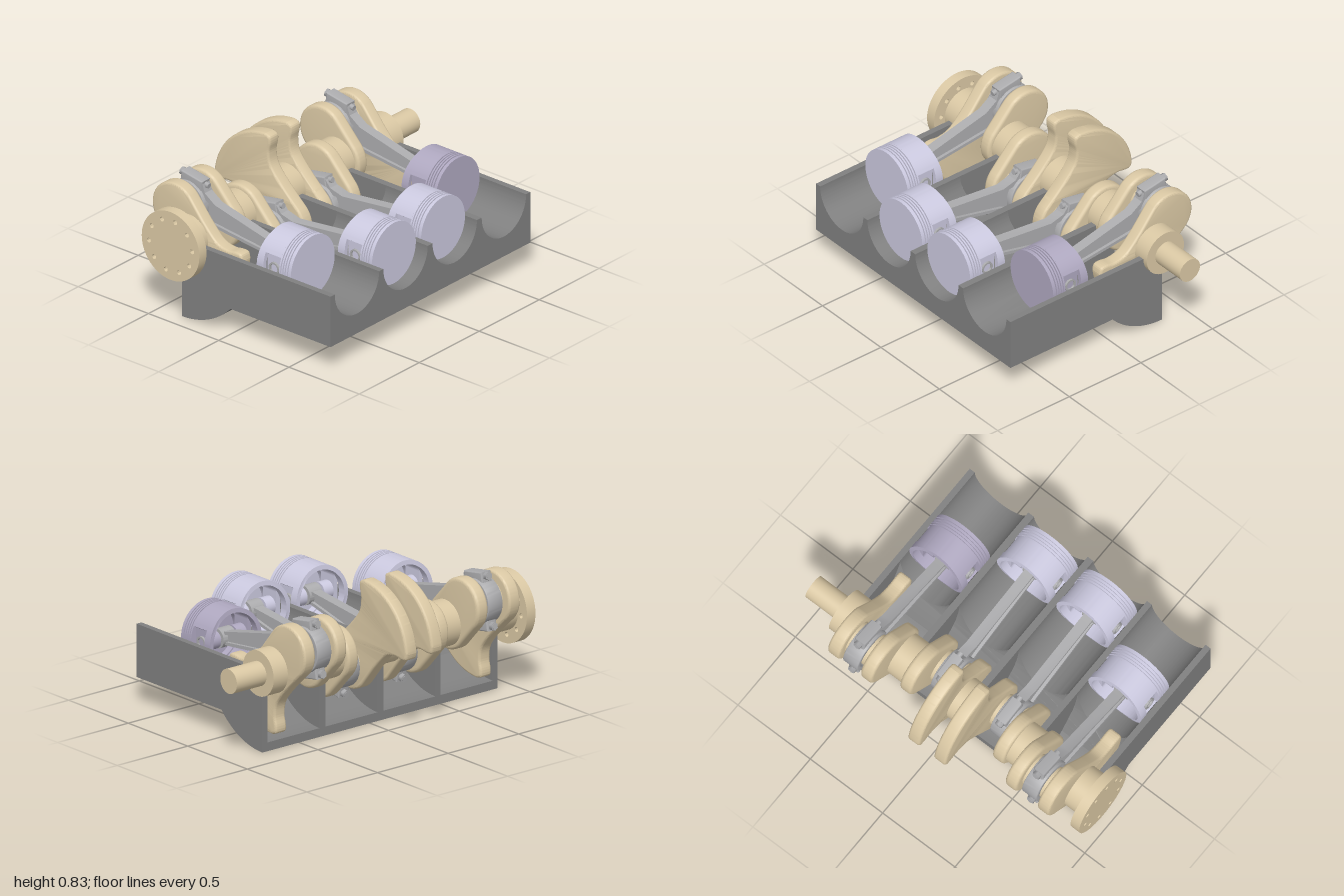
import * as THREE from 'three';
import { toCreasedNormals } from 'three/addons/utils/BufferGeometryUtils.js';

const AXIS_Y = 0.46, AXIS_Z = -0.343;       // crankshaft axis
const THROW = 0.17, ROD = 0.73, BORE = 0.185;
const OUTER = 2.32, INNER = OUTER - Math.PI; // crankpin angles, from +z towards +y
const BORES = [-0.685, -0.28, 0.13, 0.54];

const mat = (color) => new THREE.MeshStandardMaterial({ color });
const blockMat = mat(0x808080), crankMat = mat(0xdac8a4), rodMat = mat(0xacacae);
const pistonMat = mat(0xcbc9df), darkPistonMat = mat(0xafa8c0);

function add(parent, name, geometry, material) {
  const m = new THREE.Mesh(geometry, material);
  m.name = name;
  parent.add(m);
  return m;
}

// Extrude a (z, y) side profile along x, centred on x
function side(shape, x, width, bevel = 0) {
  const g = new THREE.ExtrudeGeometry(shape, {
    depth: width - 2 * bevel, curveSegments: 32, bevelEnabled: bevel > 0,
    bevelSize: bevel, bevelThickness: bevel, bevelOffset: -bevel, bevelSegments: 4,
  });
  g.translate(0, 0, bevel - width / 2);
  return toCreasedNormals(g.rotateY(-Math.PI / 2).translate(x, 0, 0), 0.6);
}

const rodX = (r, x0, x1) =>
  new THREE.CylinderGeometry(r, r, x1 - x0, 48).rotateZ(Math.PI / 2).translate((x0 + x1) / 2, 0, 0);

function circle(r, x = 0, y = 0, C = THREE.Path) {
  return new C().absarc(x, y, r, 0, Math.PI * 2, false);
}

function poly(points) {
  return new THREE.Shape(points.map(([x, y]) => new THREE.Vector2(x, y)));
}

function buildBlock() {
  const block = new THREE.Group();
  block.name = 'halfBlock';

  // Half-bores, whose rear end is cut by the round crankcase
  const s = poly([[-0.905, 0.155], [0.76, 0.155], [0.76, AXIS_Y]]);
  for (const c of [...BORES].reverse()) {
    s.lineTo(c + BORE, AXIS_Y);
    s.absarc(c, AXIS_Y, BORE, 0, -Math.PI, true);
  }
  s.lineTo(-0.905, AXIS_Y);
  const g = new THREE.ExtrudeGeometry(s, { depth: 0.715, bevelEnabled: false, curveSegments: 40 });
  const p = g.attributes.position;
  for (let i = 0; i < p.count; i++) {
    if (p.getZ(i) < 0.001) p.setZ(i, AXIS_Z + Math.sqrt(0.41 ** 2 - (p.getY(i) - AXIS_Y) ** 2));
  }
  add(block, 'cylinderBores', toCreasedNormals(g, 0.5), blockMat);

  // Curved crankcase floor
  const shell = new THREE.Shape();
  shell.absarc(AXIS_Z, AXIS_Y, 0.46, -Math.PI / 2, -0.725, false);
  shell.lineTo(-0.069, 0.155);
  shell.absarc(AXIS_Z, AXIS_Y, 0.41, -0.839, -Math.PI / 2, true);
  add(block, 'crankcaseFloor', side(shell, -0.0725, 1.665), blockMat);

  // Bulkheads between the crank bays
  const wall = new THREE.Shape();
  wall.absarc(AXIS_Z, AXIS_Y, 0.46, -Math.PI / 2, -0.725, false);
  wall.lineTo(0.07, 0.155);
  wall.lineTo(0.07, AXIS_Y);
  wall.lineTo(AXIS_Z, AXIS_Y);
  for (const [a, b] of [[-0.905, -0.87], [-0.5, -0.465], [-0.095, -0.055], [0.315, 0.355], [0.725, 0.76]])
    add(block, 'bulkhead', side(wall, (a + b) / 2, b - a), blockMat);
  return block;
}

// Crank web: local +x of the profile points to the crankpin
function webShape(weighted) {
  const s = new THREE.Shape();
  s.absarc(THROW, 0, 0.155, -Math.PI / 2, Math.PI / 2, false);
  if (!weighted) {
    s.absarc(0, 0, 0.155, Math.PI / 2, Math.PI * 1.5, false);
    return s;
  }
  const flank = [[0.02, 0.145], [-0.11, 0.15], [-0.18, 0.19], [-0.218, 0.24], [-0.248, 0.262], [-0.28, 0.248]];
  s.splineThru(flank.map(([x, y]) => new THREE.Vector2(x, y)));
  s.absarc(0, 0, 0.374, 2.417, Math.PI * 2 - 2.417, false);
  s.splineThru([...flank].reverse().slice(1).map(([x, y]) => new THREE.Vector2(x, -y)));
  return s;
}

function buildCrankshaft() {
  const crank = new THREE.Group();
  crank.name = 'crankshaft';
  crank.position.set(0, AXIS_Y, AXIS_Z);

  for (const [a, b] of [[-0.95, -0.8], [-0.575, -0.395], [-0.165, 0.015], [0.245, 0.425], [0.65, 0.79]])
    add(crank, 'mainJournal', rodX(0.13, a, b), crankMat);
  add(crank, 'noseShaft', rodX(0.07, 0.78, 1), crankMat);

  // Drilled rear flange
  const flange = circle(0.205, 0, 0, THREE.Shape);
  for (let i = 0; i < 10; i++) {
    const a = (i + 0.15) * Math.PI / 5;
    flange.holes.push(circle(0.014, 0.155 * Math.cos(a), 0.155 * Math.sin(a)));
  }
  add(crank, 'flange', side(flange, -0.97, 0.06), crankMat);

  // Throws: [weighted web x, plain web x, angle]
  for (const [xw, xp, angle] of [[-0.8, -0.575, OUTER], [-0.165, -0.395, INNER], [0.015, 0.245, INNER], [0.65, 0.425, OUTER]]) {
    const t = new THREE.Group();
    t.name = 'crankThrow';
    t.rotation.x = -angle;
    add(t, 'counterweight', side(webShape(true), xw, 0.08, 0.015), crankMat);
    add(t, 'web', side(webShape(false), xp, 0.08, 0.02), crankMat);
    add(t, 'crankpin', rodX(0.1, Math.min(xw, xp), Math.max(xw, xp)).translate(0, 0, THROW), crankMat);
    crank.add(t);
  }
  return crank;
}

// Connecting rod: big end at the origin, small end at +z
function buildRod() {
  const rod = new THREE.Group();
  rod.name = 'connectingRod';
  const big = circle(0.13, 0, 0, THREE.Shape);
  big.holes.push(circle(0.098));
  add(rod, 'bigEnd', side(big, 0, 0.1, 0.005), rodMat);
  const small = circle(0.055, ROD, 0, THREE.Shape);
  small.holes.push(circle(0.034, ROD, 0));
  add(rod, 'smallEnd', side(small, 0, 0.09), rodMat);
  // I-section beam
  const L = ROD - 0.045;
  add(rod, 'beamWeb', side(poly([[0.1, -0.07], [L, -0.035], [L, 0.035], [0.1, 0.07]]), 0, 0.025), rodMat);
  for (const s of [1, -1]) {
    const rail = [[0.06, 0.115], [0.11, 0.065], [0.17, 0.05], [L, 0.02], [L, 0.038], [0.18, 0.068], [0.1, 0.105], [0.075, 0.15]];
    add(rod, 'beamRail', side(poly(rail.map(([x, y]) => [x, s * y])), 0, 0.06), rodMat);
    add(rod, 'boltLug', side(poly([[-0.075, s * 0.09], [0.075, s * 0.09], [0.075, s * 0.165], [-0.075, s * 0.165]]), 0, 0.07, 0.008), rodMat);
    const bolt = new THREE.CylinderGeometry(0.016, 0.016, 0.2, 16).rotateX(Math.PI / 2).translate(0, s * 0.14, 0);
    add(rod, 'bolt', bolt, rodMat);
    const head = new THREE.CylinderGeometry(0.024, 0.024, 0.025, 6).rotateX(Math.PI / 2).translate(0, s * 0.14, -0.085);
    add(rod, 'boltHead', head, rodMat);
  }
  return rod;
}

// Piston: axis along z, wrist pin at the origin, crown at +z
function buildPiston(material) {
  const piston = new THREE.Group();
  piston.name = 'piston';
  const R = 0.183;
  const prof = [[0, 0.095], [0.15, 0.095], [0.15, 0.055], [R, 0.055]];
  for (const z of [0.064, 0.08, 0.096, 0.113])
    prof.push([R, z], [R - 0.012, z], [R - 0.012, z + 0.007], [R, z + 0.007]);
  prof.push([R, 0.14], [0, 0.14]);
  const crown = new THREE.LatheGeometry(prof.map(([x, y]) => new THREE.Vector2(x, y)), 72).rotateX(Math.PI / 2);
  add(piston, 'crown', toCreasedNormals(crown, 0.5), material);

  // Ring section, optionally flattened at the sides
  const outline = (r, flatX, flatY) => {
    const pts = [];
    for (let i = 0; i < 120; i++) {
      const x = r * Math.cos(i * Math.PI / 60), y = r * Math.sin(i * Math.PI / 60);
      pts.push(new THREE.Vector2(Math.abs(y) < flatY ? Math.sign(x) * Math.min(Math.abs(x), flatX) : x, y));
    }
    return pts;
  };
  const ring = (z0, z1, flat) => {
    const s = new THREE.Shape(outline(R, 0.15, flat ? 0.08 : 0));
    s.holes.push(new THREE.Path(outline(0.158, 0.125, flat ? 0.095 : 0)));
    return new THREE.ExtrudeGeometry(s, { depth: z1 - z0, bevelEnabled: false }).translate(0, 0, z0);
  };
  add(piston, 'pinSection', toCreasedNormals(ring(-0.055, 0.056, true), 0.5), material);
  const skirt = ring(-0.103, -0.055, false), p = skirt.attributes.position;
  for (let i = 0; i < p.count; i++)
    if (p.getZ(i) < -0.1) p.setZ(i, p.getZ(i) + 0.02 * (p.getY(i) / R) ** 2);
  add(piston, 'skirt', toCreasedNormals(skirt, 0.5), material);

  // Pin bosses and hollow wrist pin
  for (const s of [1, -1])
    add(piston, 'pinBoss', rodX(0.052, 0.06, 0.14).translate(s > 0 ? 0 : -0.2, 0, 0), material);
  const pin = circle(0.036, 0, 0, THREE.Shape);
  pin.holes.push(circle(0.026));
  add(piston, 'wristPin', side(pin, 0, 0.325), rodMat);
  return piston;
}

export function createModel() {
  const model = new THREE.Group();
  model.name = 'crankAndPistonAssembly';
  model.add(buildBlock(), buildCrankshaft());

  BORES.forEach((x, i) => {
    const angle = i === 0 || i === 3 ? OUTER : INNER;
    const dy = THROW * Math.sin(angle), dz = Math.sqrt(ROD * ROD - dy * dy);
    const z = AXIS_Z + THROW * Math.cos(angle) - (i === 3 ? 0.015 : 0);
    const rod = buildRod();
    rod.position.set(x, AXIS_Y + dy, z);
    rod.rotation.x = Math.atan2(dy, dz);
    const piston = buildPiston(i === 3 ? darkPistonMat : pistonMat);
    piston.position.set(x, AXIS_Y, z + dz);
    model.add(rod, piston);
  });
  return model;
}
